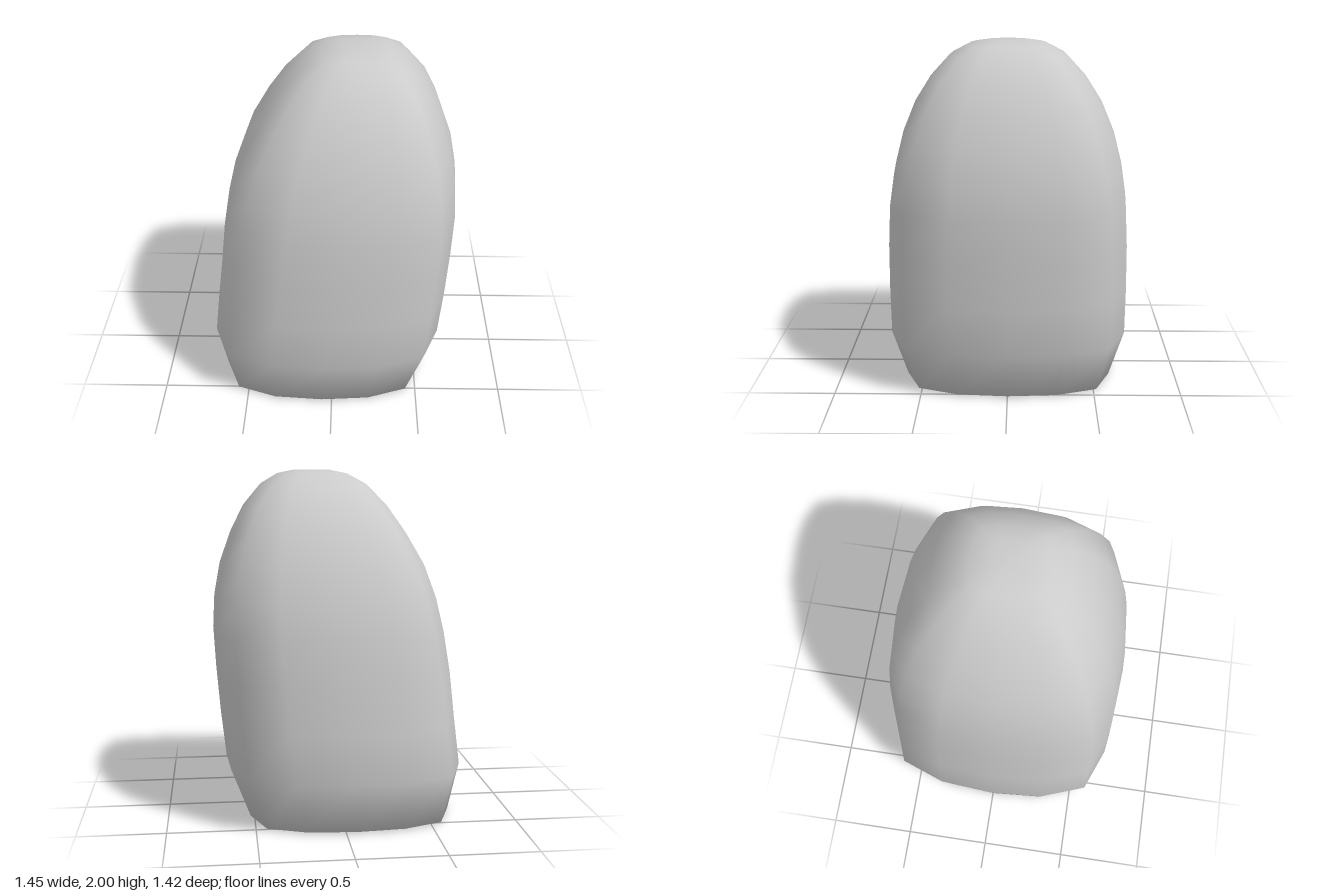
import * as THREE from 'three';

// Height, left edge, right edge and half depth of each cross-section
const SECTIONS = [
  [0, -0.37, 0.25, 0.32],
  [0.01, -0.665, 0.545, 0.625],
  [0.3, -0.725, 0.655, 0.71],
  [0.58, -0.69, 0.685, 0.71],
  [0.85, -0.66, 0.707, 0.705],
  [1.09, -0.62, 0.72, 0.69],
  [1.28, -0.575, 0.71, 0.66],
  [1.47, -0.505, 0.675, 0.61],
  [1.65, -0.4, 0.61, 0.535],
  [1.8, -0.295, 0.535, 0.44],
  [1.92, -0.18, 0.435, 0.33],
  [1.98, -0.07, 0.335, 0.22],
  [2, 0.03, 0.24, 0.11],
];

// One quarter of the rounded-square outline; the rest follows by rotation
const QUARTER = [[1, 0], [0.965, 0.455], [0.825, 0.825], [0.455, 0.965]];

function outline() {
  const points = [];
  for (let q = 0; q < 4; q++) {
    for (let [x, z] of QUARTER) {
      for (let k = 0; k < q; k++) [x, z] = [-z, x];
      points.push([x, z]);
    }
  }
  return points;
}

// Smooth closed skin through all sections, capped at both ends
function loft(sections) {
  const ring = outline();
  const n = ring.length;
  const position = [];
  const index = [];
  for (const [y, left, right, depth] of sections) {
    for (const [x, z] of ring) {
      position.push((left + right) / 2 + x * (right - left) / 2, y, z * depth);
    }
  }
  const top = (sections.length - 1) * n;
  const bottomCentre = top + n;
  for (const [y, left, right] of [sections[0], sections.at(-1)]) {
    position.push((left + right) / 2, y, 0);
  }
  for (let i = 0; i < n; i++) {
    const next = (i + 1) % n;
    for (let base = 0; base < top; base += n) {
      const a = base + i, b = base + next;
      index.push(a, a + n, b, b, a + n, b + n);
    }
    index.push(bottomCentre, i, next);
    index.push(bottomCentre + 1, top + next, top + i);
  }
  const geometry = new THREE.BufferGeometry();
  geometry.setAttribute('position', new THREE.Float32BufferAttribute(position, 3));
  geometry.setIndex(index);
  geometry.computeVertexNormals();
  return geometry;
}

export function createModel() {
  const group = new THREE.Group();
  group.name = 'leaningStone';
  const stone = new THREE.Mesh(
    loft(SECTIONS),
    new THREE.MeshStandardMaterial({ color: 0xcccccc })
  );
  stone.name = 'stoneBody';
  group.add(stone);
  return group;
}
